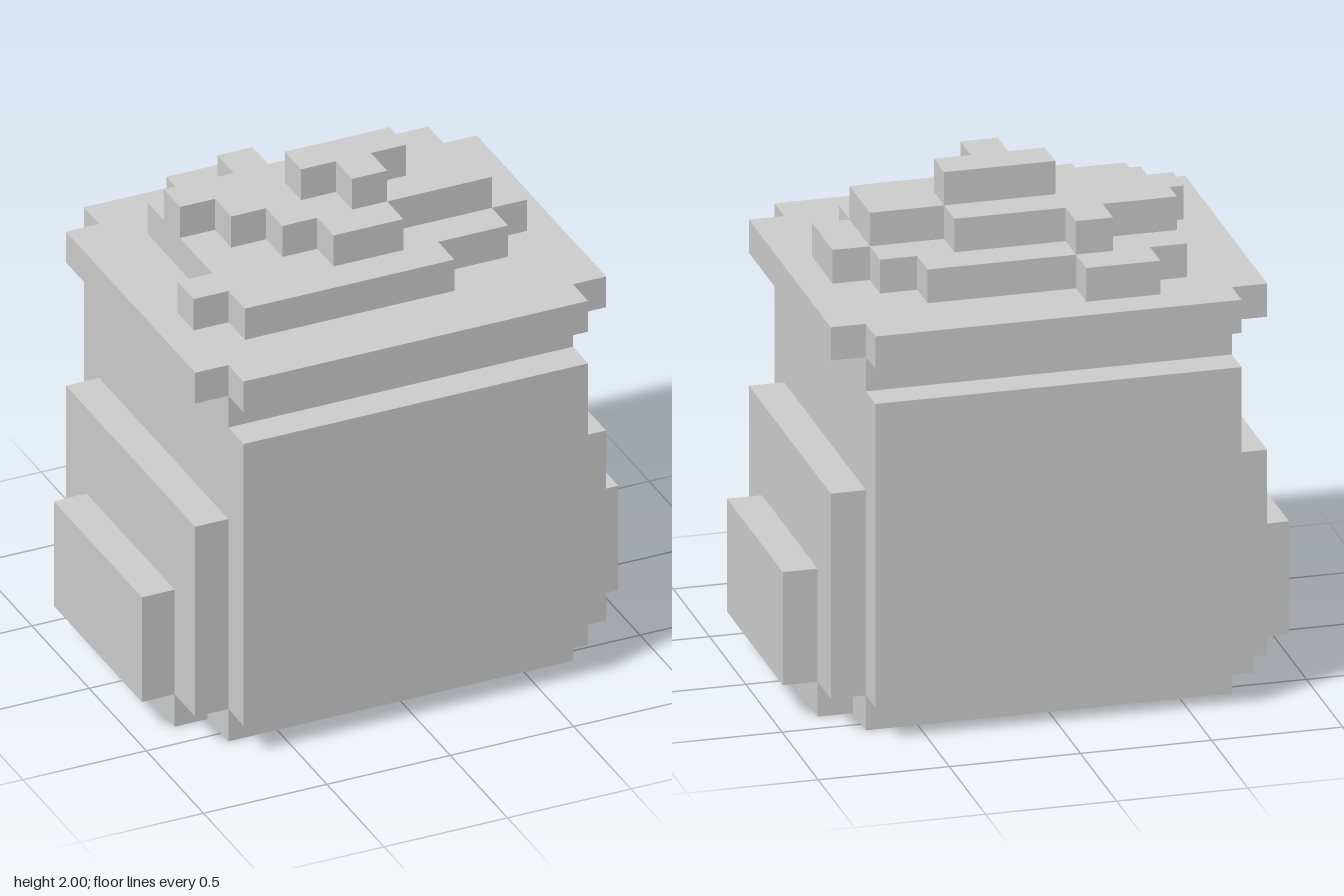
import * as THREE from 'three';

const material = new THREE.MeshStandardMaterial({ color: 0xcccccc, flatShading: true });
const CELL = 0.1415; // grid step of the stepped topping

// Prism standing between two heights, from a plan outline of [x, z] corners
function slab(name, outline, y0, y1) {
  const shape = new THREE.Shape(outline.map(([x, z]) => new THREE.Vector2(x, -z)));
  const geometry = new THREE.ExtrudeGeometry(shape, { depth: y1 - y0, bevelEnabled: false });
  geometry.rotateX(-Math.PI / 2).translate(0, y0, 0);
  const mesh = new THREE.Mesh(geometry, material);
  mesh.name = name;
  return mesh;
}

function box(name, x0, x1, halfZ, y0, y1) {
  const mesh = new THREE.Mesh(new THREE.BoxGeometry(x1 - x0, y1 - y0, halfZ * 2), material);
  mesh.position.set((x0 + x1) / 2, (y0 + y1) / 2, 0);
  mesh.name = name;
  return mesh;
}

// Rectangle with a square notch out of each corner
function notched(x, z, innerX, innerZ) {
  return [
    [x, innerZ], [innerX, innerZ], [innerX, z], [-innerX, z], [-innerX, innerZ], [-x, innerZ],
    [-x, -innerZ], [-innerX, -innerZ], [-innerX, -z], [innerX, -z], [innerX, -innerZ], [x, -innerZ],
  ];
}

export function createModel() {
  const group = new THREE.Group();
  group.name = 'steppedJar';

  // Foot, body, neck and lid
  group.add(slab('foot', notched(0.832, 0.565, 0.698, 0.385), 0, 0.138));
  group.add(box('body', -0.698, 0.698, 0.698, 0.138, 1.338));
  group.add(box('neck', -0.698, 0.698, 0.565, 1.338, 1.473));
  group.add(slab('lid', notched(0.832, 0.698, 0.698, 0.565), 1.473, 1.604));

  // Two stacked panels on each side
  for (const [label, side] of [['left', 1], ['right', -1]]) {
    const span = (a, b) => (side > 0 ? [a, b] : [-b, -a]);
    group.add(box(label + 'SidePanel', ...span(0.698, 0.832), 0.565, 0.138, 0.948));
    group.add(box(label + 'OuterPanel', ...span(0.832, 0.965), 0.385, 0.138, 0.584));
  }

  // Irregular stepped topping, outlines in grid cells [x, z]
  const tiers = [
    [[-3, -4], [-1, -4], [-1, -3], [3, -3], [3, -2], [4, -2], [4, -1], [5, -1], [5, 1], [4, 1], [4, 2],
      [2, 2], [2, 3], [-4, 3], [-4, 2], [-5, 2], [-5, 1], [-4, 1], [-4, -3], [-3, -3]],
    [[-4, -2], [-2, -2], [-2, -3], [-1, -3], [-1, -2], [2, -2], [2, -1], [4, -1], [4, 1], [1, 1], [1, 2],
      [-1, 2], [-1, 1], [-2, 1], [-2, 0], [-3, 0], [-3, -1], [-4, -1]],
    [[-1, -1], [2, -1], [2, 0], [1, 0], [1, 1], [0, 1], [0, 0], [-1, 0]],
  ];
  const heights = [1.604, 1.737, 1.869, 2];
  const names = ['lowerTopping', 'middleTopping', 'upperTopping'];
  tiers.forEach((cells, i) => {
    const outline = cells.map(([x, z]) => [x * CELL, z * CELL]);
    group.add(slab(names[i], outline, heights[i], heights[i + 1]));
  });

  return group;
}
